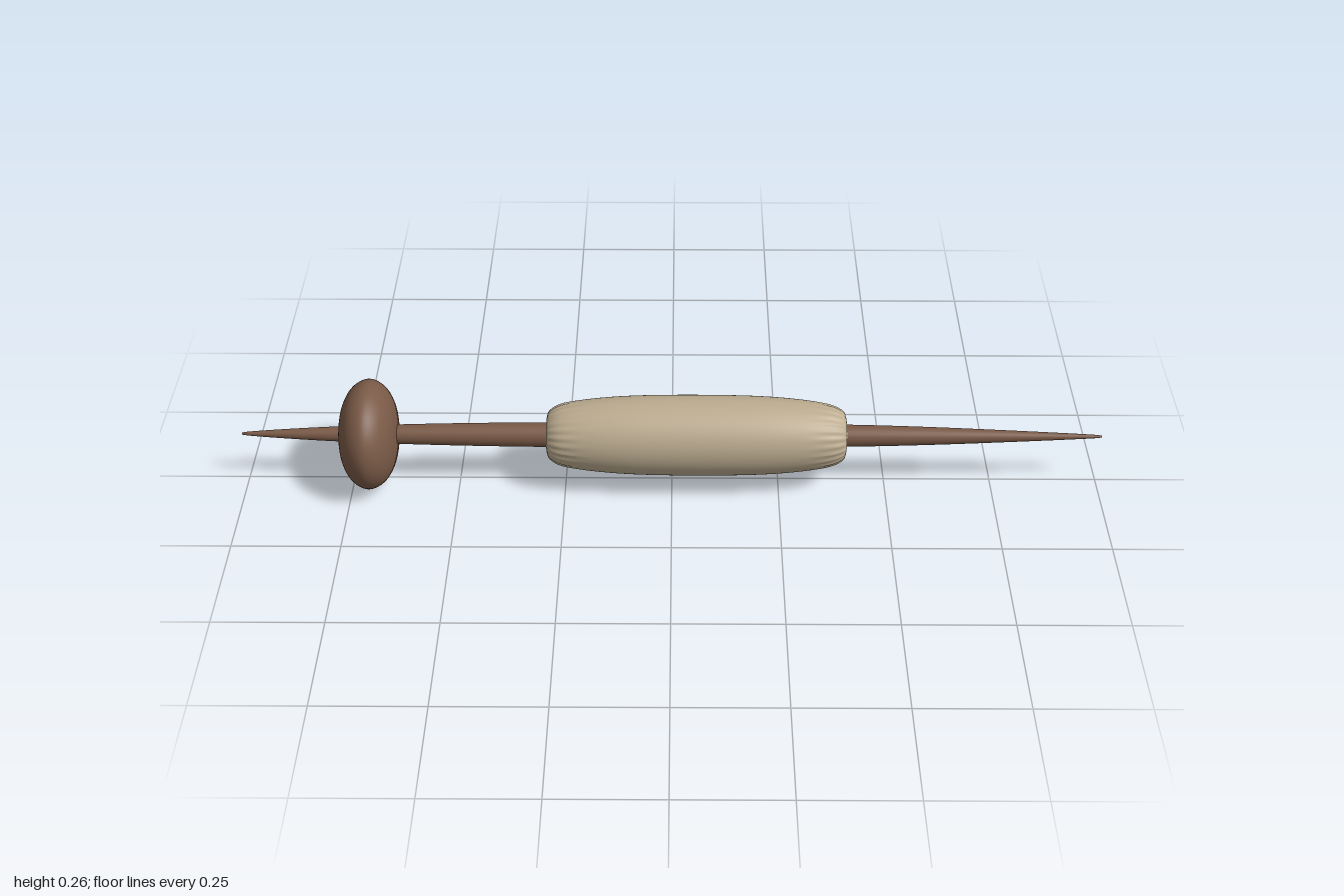
import * as THREE from 'three';

const AXIS_HEIGHT = 0.129;

// Smooth lathe around the x axis from [x, radius] profile points
function turned(name, profile, steps, segments, material) {
  const curve = new THREE.SplineCurve(profile.map(([x, r]) => new THREE.Vector2(r, x)));
  const points = curve.getPoints(steps);
  points.forEach((p) => { p.x = Math.max(p.x, 0); });
  const geometry = new THREE.LatheGeometry(points, segments);
  geometry.rotateZ(-Math.PI / 2);
  const mesh = new THREE.Mesh(geometry, material);
  mesh.name = name;
  mesh.position.y = AXIS_HEIGHT;
  return mesh;
}

export function createModel() {
  const wood = new THREE.MeshStandardMaterial({ color: 0x7a5a47 });
  wood.name = 'brown wood';
  const wool = new THREE.MeshStandardMaterial({ color: 0xbcac90 });
  wool.name = 'cream wool';

  const model = new THREE.Group();
  model.name = 'spindle';

  // Slender shaft, pointed at both ends
  model.add(turned('shaft', [
    [-1, 0], [-0.992, 0.004], [-0.9, 0.011], [-0.77, 0.018], [-0.63, 0.023], [-0.45, 0.027],
    [-0.25, 0.029], [0.1, 0.029], [0.4, 0.026], [0.6, 0.021], [0.8, 0.013],
    [0.95, 0.006], [0.995, 0.003], [1, 0],
  ], 78, 24, wood));

  // Rounded disc weight
  model.add(turned('whorl', [
    [-0.772, 0], [-0.771, 0.035], [-0.763, 0.073], [-0.747, 0.104], [-0.727, 0.122],
    [-0.705, 0.129], [-0.683, 0.122], [-0.663, 0.104], [-0.647, 0.073],
    [-0.639, 0.035], [-0.638, 0],
  ], 40, 64, wood));

  // Wound yarn, a plump cigar with blunt ends
  const yarn = turned('yarn', [
    [-0.291, 0.02], [-0.29, 0.045], [-0.28, 0.06], [-0.25, 0.074], [-0.18, 0.085], [-0.08, 0.092],
    [0.055, 0.094], [0.19, 0.092], [0.29, 0.085], [0.36, 0.074], [0.394, 0.06],
    [0.404, 0.045], [0.405, 0.02],
  ], 60, 144, wool);

  // Shallow gathers that fade out away from the ends
  const position = yarn.geometry.attributes.position;
  for (let i = 0; i < position.count; i++) {
    const x = position.getX(i), y = position.getY(i), z = position.getZ(i);
    const fade = THREE.MathUtils.smoothstep(Math.abs(x - 0.057), 0.24, 0.34);
    const scale = 1 + 0.018 * fade * Math.cos(24 * Math.atan2(z, y));
    position.setXYZ(i, x, y * scale, z * scale);
  }
  yarn.geometry.computeVertexNormals();
  model.add(yarn);

  return model;
}
